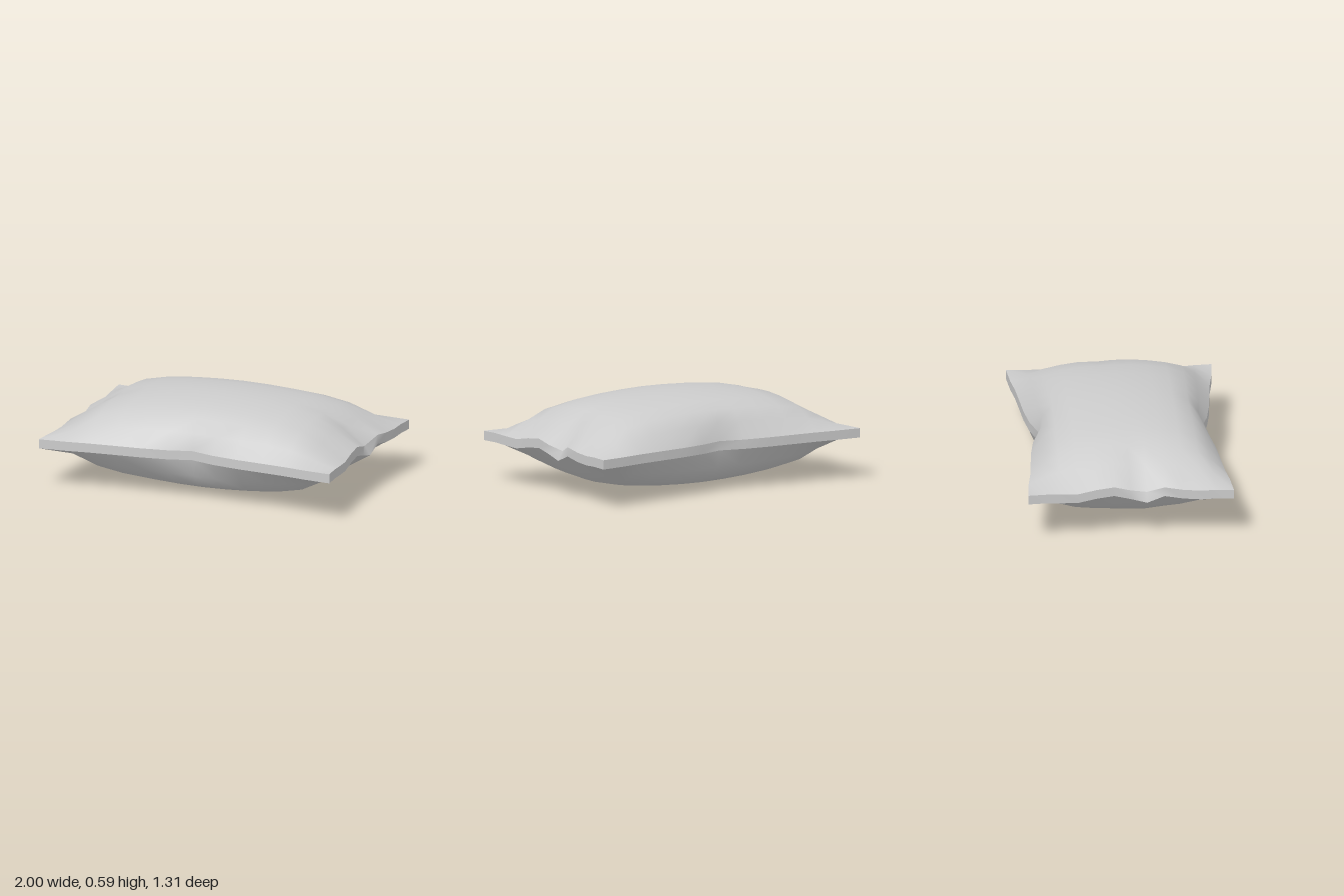
import * as THREE from 'three';

// Half-pillow grid lines (0 = centre, 1 = seam) and values along them
const KNOTS = [0, 0.16, 0.33, 0.51, 0.68, 0.82, 1];
const BULGE = [1, 0.985, 0.945, 0.87, 0.72, 0.42, 0];
const EDGE_Z = [0.52, 0.565, 0.59, 0.605, 0.62, 0.64, 0.655]; // front and back seams
const EDGE_X = [0.96, 0.962, 0.967, 0.975, 0.985, 0.99, 1]; // end seams
// Height wobble of an end seam, from back to front
const WOBBLE = [0, 0, -0.005, 0, 0.017, -0.028, 0, 0.025, 0.012, -0.01, -0.005, 0, 0];
const N = 6, CELLS = 12;
const HALF_DEPTH = 0.655, MID_Y = 0.3, HALF_SEAM = 0.03, HEIGHT = 0.265;

// Point of the top (side = 1) or bottom (side = -1) panel at grid cell i, j
function pillowPoint(i, j, side) {
  const a = Math.abs(i - N), b = Math.abs(j - N);
  const sx = Math.sign(i - N), sz = Math.sign(j - N);
  const u = KNOTS[a], v = KNOTS[b];
  // Each end is the other turned half round
  const k = sx >= 0 ? j : CELLS - j;
  const pullX = u ** 6;
  let inset = 1 - EDGE_X[b];
  if (k === 5 && side > 0) inset += 0.035; // crease notch
  const x = sx * (u - inset * pullX);
  const z = sz * (v * HALF_DEPTH - (HALF_DEPTH - EDGE_Z[a]) * v ** 6);
  const y = MID_Y + WOBBLE[k] * u ** 5
    + side * (HALF_SEAM + HEIGHT * BULGE[a] * BULGE[b]);
  return [x, y, z];
}

// Smooth grid surface from a point function
function surface(nu, nv, point, flip) {
  const positions = [], index = [];
  for (let i = 0; i <= nu; i++)
    for (let j = 0; j <= nv; j++) positions.push(...point(i, j));
  for (let i = 0; i < nu; i++)
    for (let j = 0; j < nv; j++) {
      const a = i * (nv + 1) + j, b = a + 1, c = a + nv + 1, d = c + 1;
      if (flip) index.push(a, c, b, b, c, d);
      else index.push(a, b, c, b, d, c);
    }
  const geometry = new THREE.BufferGeometry();
  geometry.setAttribute('position', new THREE.Float32BufferAttribute(positions, 3));
  geometry.setIndex(index);
  geometry.computeVertexNormals();
  return geometry;
}

export function createModel() {
  const pillow = new THREE.Group();
  pillow.name = 'pillow';
  const material = new THREE.MeshStandardMaterial({ color: 0xcccccc });
  const add = (name, geometry) => {
    const mesh = new THREE.Mesh(geometry, material);
    mesh.name = name;
    pillow.add(mesh);
  };

  // Puffed fabric panels
  add('topPanel', surface(CELLS, CELLS, (i, j) => pillowPoint(i, j, 1), false));
  add('bottomPanel', surface(CELLS, CELLS, (i, j) => pillowPoint(i, j, -1), true));

  // Narrow seam band round the edge
  const level = (t) => (t ? 1 : -1);
  add('frontSeam', surface(CELLS, 1, (i, t) => pillowPoint(i, CELLS, level(t)), true));
  add('backSeam', surface(CELLS, 1, (i, t) => pillowPoint(i, 0, level(t)), false));
  add('leftSeam', surface(CELLS, 1, (j, t) => pillowPoint(CELLS, j, level(t)), false));
  add('rightSeam', surface(CELLS, 1, (j, t) => pillowPoint(0, j, level(t)), true));

  return pillow;
}
